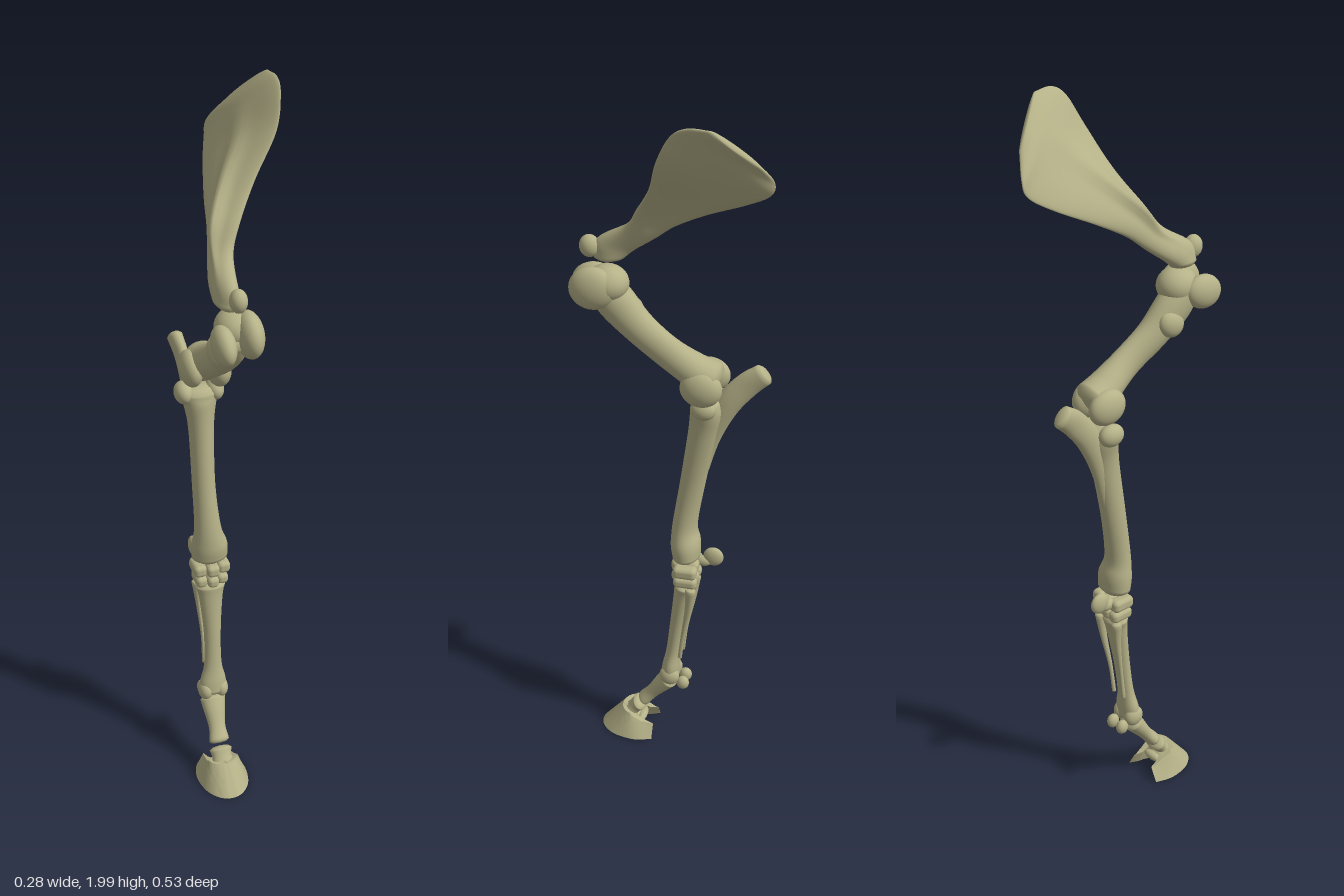
import * as THREE from 'three';
import { mergeVertices, toCreasedNormals } from 'three/addons/utils/BufferGeometryUtils.js';
import { RoundedBoxGeometry } from 'three/addons/geometries/RoundedBoxGeometry.js';

const V = (x, y, z) => new THREE.Vector3(x, y, z);

export function createModel() {
  const model = new THREE.Group();
  model.name = 'foreLegBones';
  const bone = new THREE.MeshStandardMaterial({ color: 0xb5b188 });
  bone.name = 'bone';

  function add(name, geo) {
    const m = new THREE.Mesh(geo, bone);
    m.name = name;
    model.add(m);
    return m;
  }

  // Smooth skin over sections { c: centre, u: half-width vector, b: half-thickness, arch, ridge }
  function loft(name, sections, steps = 6, N = 28) {
    const curve = (pts) => new THREE.CatmullRomCurve3(pts, false, 'catmullrom', 0.5);
    const cC = curve(sections.map((s) => s.c));
    const cU = curve(sections.map((s) => s.u));
    const cB = curve(sections.map((s) => V(s.b, s.arch || 0, s.ridge || 0)));
    const pos = [], idx = [];
    const M = (sections.length - 1) * steps;
    const frame = (k) => {
      const t = k / M;
      return { c: cC.getPoint(t), u: cU.getPoint(t), p: cB.getPoint(t), d: cC.getTangent(t) };
    };
    const ring = (f, scale, shift) => {
      const v = f.d.clone().cross(f.u).normalize();
      const c = f.c.clone().addScaledVector(f.d, shift);
      for (let j = 0; j < N; j++) {
        const a = (j / N) * Math.PI * 2, cs = Math.cos(a), sn = Math.sin(a);
        let off = f.p.x * sn * scale - f.p.y * (1 - cs * cs);
        if (sn < 0) off -= f.p.z * Math.exp(-(((cs - 0.15) / 0.22) ** 2));
        const q = c.clone().addScaledVector(f.u, cs * scale).addScaledVector(v, off);
        pos.push(q.x, q.y, q.z);
      }
    };
    const round = (f) => Math.min(f.p.x, f.u.length());
    const first = frame(0), last = frame(M);
    ring(first, 0.72, -round(first) * 0.3);
    for (let k = 0; k <= M; k++) ring(frame(k), 1, 0);
    ring(last, 0.72, round(last) * 0.3);
    const rows = M + 3;
    for (let i = 0; i < rows - 1; i++) {
      for (let j = 0; j < N; j++) {
        const a = i * N + j, b = i * N + ((j + 1) % N);
        idx.push(a, b, a + N, b, b + N, a + N);
      }
    }
    // rounded end caps
    for (const [f, row, s] of [[first, 0, -1], [last, rows - 1, 1]]) {
      const v = f.d.clone().cross(f.u).normalize();
      const tip = f.c.clone().addScaledVector(f.d, s * round(f) * 0.42).addScaledVector(v, -f.p.y * 0.7);
      const n = pos.length / 3;
      pos.push(tip.x, tip.y, tip.z);
      for (let j = 0; j < N; j++) {
        const a = row * N + j, b = row * N + ((j + 1) % N);
        if (s > 0) idx.push(a, b, n); else idx.push(b, a, n);
      }
    }
    const g = new THREE.BufferGeometry();
    g.setAttribute('position', new THREE.Float32BufferAttribute(pos, 3));
    g.setIndex(idx);
    g.computeVertexNormals();
    return add(name, g);
  }

  // Long bone: rows of x, y, z, half-width, half-depth
  const longBone = (name, rows) =>
    loft(name, rows.map(([x, y, z, a, b]) => ({ c: V(x, y, z), u: V(a, 0, 0), b })));

  function ball(name, x, y, z, rx, ry, rz, tilt = 0) {
    const m = add(name, new THREE.SphereGeometry(1, 28, 18));
    m.position.set(x, y, z);
    m.scale.set(rx, ry, rz);
    m.rotation.x = tilt;
  }

  // Shoulder blade: front edge, rear edge, half-thickness, outward arch, spine ridge
  const blade = [
    [[-0.07, 1.545, 0.205], [-0.085, 1.545, 0.125], 0.028, 0, 0],
    [[-0.062, 1.59, 0.195], [-0.088, 1.58, 0.085], 0.027, 0, 0],
    [[-0.045, 1.645, 0.115], [-0.075, 1.615, 0.04], 0.022, 0.004, 0.008],
    [[-0.015, 1.705, 0.08], [-0.062, 1.655, -0.01], 0.018, 0.01, 0.022],
    [[0.04, 1.79, 0.035], [-0.045, 1.7, -0.09], 0.015, 0.012, 0.018],
    [[0.105, 1.89, 0.002], [-0.015, 1.75, -0.19], 0.013, 0.012, 0.008],
    [[0.128, 1.965, -0.035], [0.008, 1.79, -0.25], 0.013, 0.008, 0.002],
    [[0.134, 1.992, -0.075], [0.018, 1.83, -0.26], 0.012, 0.002, 0],
    [[0.13, 1.99, -0.13], [0.06, 1.885, -0.232], 0.009, 0, 0],
  ];
  loft('shoulderBlade', blade.map(([f, r, b, arch, ridge]) => {
    const F = V(...f), R = V(...r);
    return { c: F.clone().add(R).multiplyScalar(0.5), u: F.clone().sub(R).multiplyScalar(0.5), b, arch, ridge };
  }), 6, 48);
  ball('shoulderBladeTubercle', -0.062, 1.573, 0.212, 0.022, 0.03, 0.026);

  // Upper arm
  longBone('upperArm', [
    [-0.062, 1.475, 0.185, 0.045, 0.045],
    [-0.06, 1.425, 0.145, 0.042, 0.052],
    [-0.052, 1.365, 0.085, 0.036, 0.045],
    [-0.042, 1.31, 0.01, 0.033, 0.043],
    [-0.043, 1.265, -0.06, 0.045, 0.046],
    [-0.047, 1.24, -0.105, 0.055, 0.052],
  ]);
  ball('upperArmHead', -0.055, 1.48, 0.165, 0.05, 0.048, 0.055);
  ball('innerTubercle', -0.03, 1.472, 0.198, 0.034, 0.058, 0.062, 0.3);
  ball('outerTubercle', -0.1, 1.462, 0.215, 0.029, 0.045, 0.056, 0.3);
  ball('upperArmRidge', -0.085, 1.395, 0.12, 0.024, 0.035, 0.04, 0.6);
  ball('innerCondyle', -0.014, 1.228, -0.085, 0.033, 0.052, 0.055);
  ball('outerCondyle', -0.086, 1.232, -0.092, 0.03, 0.048, 0.055);

  // Forearm and elbow point
  longBone('forearm', [
    [-0.063, 1.165, -0.09, 0.052, 0.036],
    [-0.063, 1.13, -0.09, 0.044, 0.042],
    [-0.063, 1.06, -0.08, 0.034, 0.038],
    [-0.066, 0.9, -0.055, 0.031, 0.034],
    [-0.062, 0.77, -0.037, 0.036, 0.034],
    [-0.056, 0.71, -0.04, 0.049, 0.041],
    [-0.055, 0.668, -0.043, 0.05, 0.038],
  ]);
  ball('forearmOuterHead', -0.105, 1.162, -0.095, 0.025, 0.03, 0.036);
  ball('forearmInnerHead', -0.022, 1.162, -0.09, 0.024, 0.03, 0.034);
  longBone('elbowBone', [
    [-0.083, 1.252, -0.234, 0.02, 0.03],
    [-0.078, 1.215, -0.19, 0.018, 0.034],
    [-0.073, 1.15, -0.14, 0.021, 0.034],
    [-0.07, 1.05, -0.102, 0.018, 0.025],
    [-0.07, 0.93, -0.078, 0.012, 0.015],
    [-0.07, 0.85, -0.06, 0.006, 0.01],
  ]);

  // Knee: two rows of small block bones and one rear bone
  for (const [row, y, h, w] of [['upper', 0.632, 0.036, 0.036], ['lower', 0.595, 0.033, 0.032]]) {
    for (let i = -1; i <= 1; i++) {
      const m = add(row + 'KneeBone', new RoundedBoxGeometry(w, h, i ? 0.066 : 0.076, 3, 0.013));
      m.position.set(-0.054 + i * w * 0.93, y, i ? -0.046 : -0.04);
    }
  }
  ball('rearKneeBone', -0.078, 0.655, -0.113, 0.014, 0.029, 0.028);
  ball('rearKneeBoneNeck', -0.076, 0.638, -0.085, 0.013, 0.016, 0.025);

  // Cannon bone with the two thin splints behind it
  longBone('cannonBone', [
    [-0.054, 0.57, -0.04, 0.042, 0.03],
    [-0.055, 0.53, -0.034, 0.033, 0.026],
    [-0.057, 0.42, -0.018, 0.024, 0.021],
    [-0.06, 0.32, -0.006, 0.025, 0.02],
    [-0.062, 0.265, 0, 0.037, 0.025],
    [-0.063, 0.232, 0.003, 0.037, 0.027],
  ]);
  for (const s of [-1, 1]) {
    longBone('splintBone', [
      [-0.054 + s * 0.034, 0.57, -0.062, 0.013, 0.015],
      [-0.055 + s * 0.029, 0.5, -0.055, 0.008, 0.01],
      [-0.057 + s * 0.022, 0.4, -0.039, 0.005, 0.006],
      [-0.059 + s * 0.02, 0.31, -0.029, 0.005, 0.006],
    ]);
    ball('fetlockCondyle', -0.063 + s * 0.022, 0.235, 0.002, 0.021, 0.03, 0.029);
    ball('sesamoidBone', -0.063 + s * 0.019, 0.213, -0.037, 0.015, 0.021, 0.018);
  }

  // Pastern bones
  longBone('longPastern', [
    [-0.066, 0.205, 0.008, 0.036, 0.028],
    [-0.068, 0.18, 0.028, 0.031, 0.025],
    [-0.07, 0.14, 0.058, 0.024, 0.019],
    [-0.072, 0.108, 0.083, 0.029, 0.02],
  ]);
  longBone('shortPastern', [
    [-0.073, 0.088, 0.097, 0.032, 0.023],
    [-0.073, 0.072, 0.11, 0.028, 0.02],
    [-0.073, 0.052, 0.125, 0.032, 0.021],
  ]);
  ball('navicularBone', -0.073, 0.042, 0.088, 0.032, 0.012, 0.013);

  // Hoof bone: horseshoe plan, leaning in towards the top, with low rear wings
  const outer = [[0.058, 0.05], [0.072, 0.1], [0.062, 0.16], [0.034, 0.198]];
  const inner = [[0.046, 0.075], [0.04, 0.1], [0.022, 0.125]];
  const flip = (list) => list.map(([x, z]) => [-x, z]).reverse();
  const toPts = (list) =>
    new THREE.SplineCurve(list.map(([x, z]) => new THREE.Vector2(x, -z))).getPoints(32);
  const plan = new THREE.Shape([
    ...toPts([...outer, [0, 0.21], ...flip(outer)]),
    ...toPts([...flip(inner).reverse(), [0, 0.132], ...inner.slice().reverse()]),
  ]);
  let hoof = new THREE.ExtrudeGeometry(plan, { depth: 0.075, steps: 6, bevelEnabled: false });
  hoof.rotateX(-Math.PI / 2);
  const p = hoof.attributes.position;
  for (let i = 0; i < p.count; i++) {
    const x = p.getX(i), y = p.getY(i), z = p.getZ(i), k = y / 0.075;
    const nz = z > 0.11 ? 0.11 + (z - 0.11) * (1 - 0.62 * k) : z;
    p.setXYZ(i, x * (1 - 0.38 * k), y * (0.55 + 0.45 * THREE.MathUtils.smoothstep(z, 0.06, 0.14)), nz);
  }
  hoof.deleteAttribute('normal');
  hoof.deleteAttribute('uv');
  hoof = toCreasedNormals(mergeVertices(hoof), 0.7);
  add('hoofBone', hoof).position.x = -0.073;
  ball('hoofBoneCore', -0.073, 0.04, 0.125, 0.042, 0.025, 0.035);

  return model;
}
